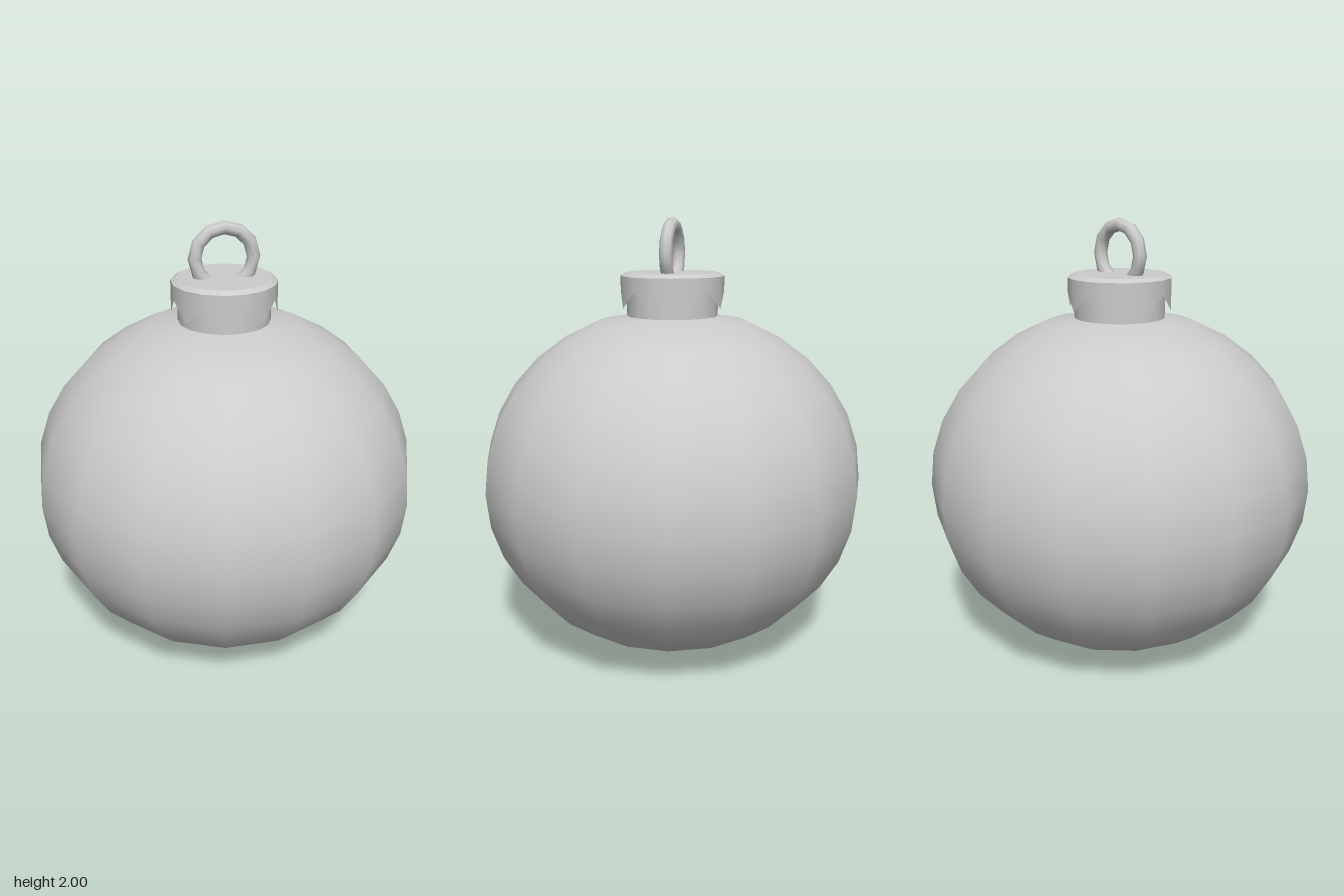
import * as THREE from 'three';

const SIDES = 16;
const START = Math.PI / SIDES; // half-step turn so flats face the axes

function lathe(points) {
  return new THREE.LatheGeometry(points.map(([r, y]) => new THREE.Vector2(r, y)), SIDES, START);
}

export function createModel() {
  const model = new THREE.Group();
  const grey = new THREE.MeshStandardMaterial({ color: 0xcccccc });
  const greyThin = new THREE.MeshStandardMaterial({ color: 0xcccccc, side: THREE.DoubleSide });

  function add(parent, name, geometry, material = grey) {
    const mesh = new THREE.Mesh(geometry, material);
    mesh.name = name;
    parent.add(mesh);
    return mesh;
  }

  // Bauble: slightly flattened sphere with shallow cones at both poles
  const profile = [[0, 0]];
  for (let i = -6; i <= 6; i++) {
    const a = (i * Math.PI) / 16;
    profile.push([0.886 * Math.cos(a), 0.8 + 0.8 * Math.sin(a)]);
  }
  profile.push([0, 1.6]);
  add(model, 'bauble', lathe(profile));

  // Cap: neck, zigzag skirt, bevelled rim and flat top
  const cap = new THREE.Group();
  cap.name = 'cap';
  model.add(cap);
  add(cap, 'capNeck', lathe([[0.207, 1.54], [0.207, 1.74]]));

  const skirt = lathe([[0.235, 1.6], [0.235, 1.742]]);
  const pos = skirt.attributes.position;
  for (let i = 0; i <= SIDES; i += 2) pos.setY(i * 2, 1.677); // raise every other lower corner
  add(cap, 'capSkirt', skirt, greyThin);

  add(cap, 'capRim', lathe([[0.235, 1.742], [0.21, 1.757]]));
  add(cap, 'capTop', lathe([[0.21, 1.757], [0, 1.757]]));

  // Hanging ring, its lower part sunk into the cap
  const ring = add(model, 'hangingRing', new THREE.TorusGeometry(0.13, 0.03, 8, 12));
  ring.position.y = 1.84;

  return model;
}
